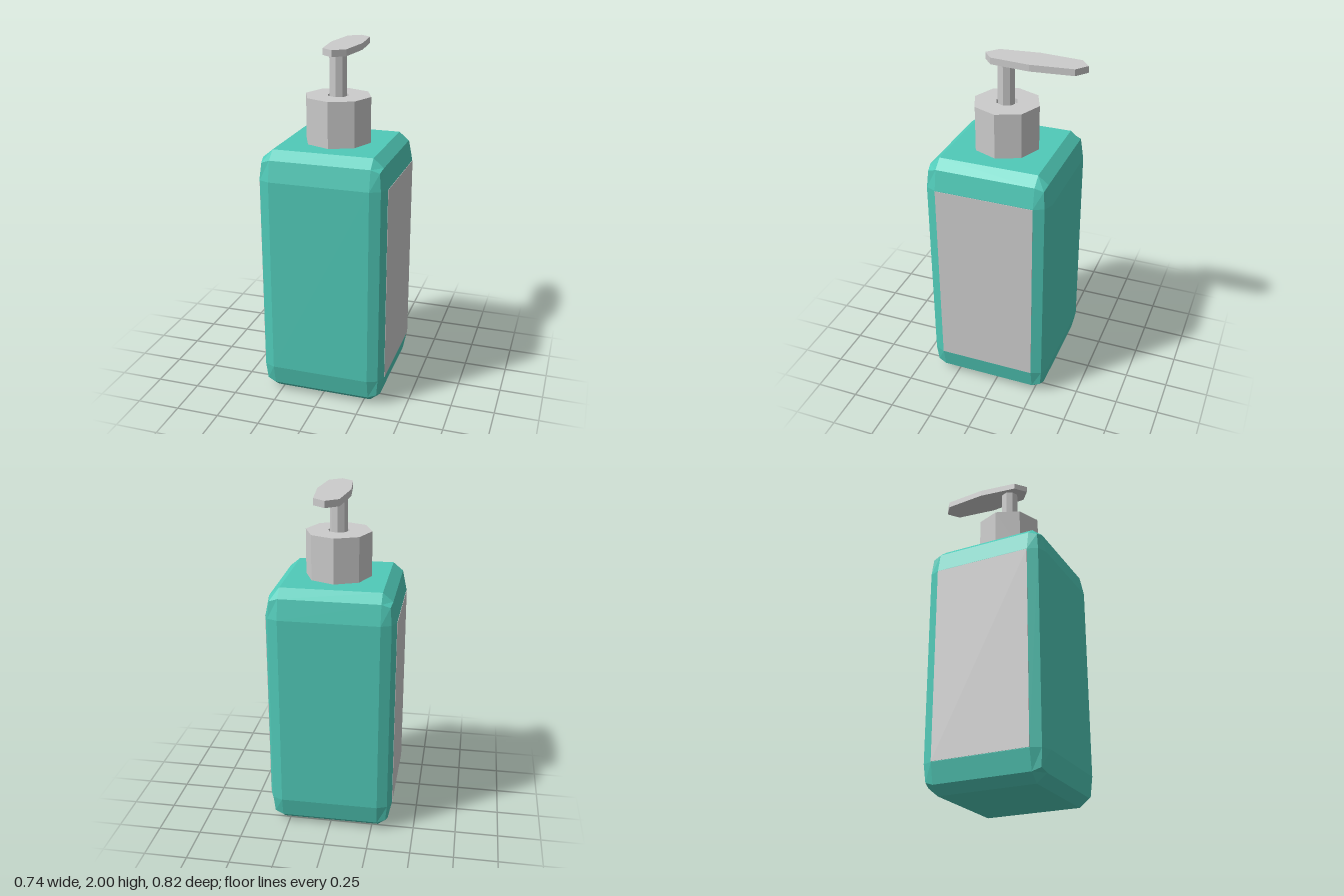
import * as THREE from 'three';

const CZ = 0.0425; // bottle axis lies slightly forward of the centre
const HALF = 0.367, HEIGHT = 1.475;

// Box whose edges and corners are bevelled in two steps: each vertex moves
// by how many of its coordinates lie on the outside of the box.
function bevelledBox() {
  const geo = new THREE.BoxGeometry(2, 2, 2, 3, 3, 3);
  const pos = geo.attributes.position;
  for (let i = 0; i < pos.count; i++) {
    const p = [pos.getX(i), pos.getY(i), pos.getZ(i)];
    const outer = p.filter((v) => Math.abs(v) > 0.9).length;
    const reach = [0, HALF, 0.343, 0.334][outer];
    const q = p.map((v) => Math.sign(v) * (Math.abs(v) > 0.9 ? reach : 0.285));
    pos.setXYZ(i, q[0], q[1] * HEIGHT / (2 * HALF), q[2]);
  }
  geo.computeVertexNormals();
  return geo;
}

export function createModel() {
  const group = new THREE.Group();
  const teal = new THREE.MeshStandardMaterial({ color: 0x50cab8, flatShading: true });
  teal.name = 'teal';
  const grey = new THREE.MeshStandardMaterial({ color: 0xcccccc, flatShading: true });
  grey.name = 'light grey';

  const add = (name, geo, material, x, y, z) => {
    const mesh = new THREE.Mesh(geo, material);
    mesh.name = name;
    mesh.position.set(x, y, z);
    group.add(mesh);
  };

  // Bottle
  add('bottle', bevelledBox(), teal, 0, HEIGHT / 2, CZ);

  // Labels on both sides
  for (const side of [1, -1]) {
    add(side > 0 ? 'leftLabel' : 'rightLabel', new THREE.BoxGeometry(0.004, 1.14, 0.57), grey,
      side * HALF, HEIGHT / 2, CZ);
  }

  // Collar with a shallow socket around the stem
  const collar = [[0, 1.47], [0.19, 1.47], [0.19, 1.735], [0.062, 1.735], [0.062, 1.71], [0, 1.71]];
  add('collar', new THREE.LatheGeometry(collar.map(([r, y]) => new THREE.Vector2(r, y)), 8),
    grey, 0, 0, CZ);

  // Pump stem
  add('stem', new THREE.CylinderGeometry(0.051, 0.051, 0.27, 8), grey, 0, 1.835, CZ + 0.003);

  // Pump head, long towards the back
  const half = [[0, -0.165], [0.068, -0.11], [0.092, 0.115], [0.068, 0.357], [0, 0.41]];
  const outline = [...half, ...half.slice(1, -1).reverse().map(([x, y]) => [-x, y])];
  const shape = new THREE.Shape(outline.map(([x, y]) => new THREE.Vector2(x, y)));
  const head = new THREE.ExtrudeGeometry(shape, { depth: 0.037, bevelEnabled: false });
  head.rotateX(-Math.PI / 2);
  add('pumpHead', head, grey, 0, 1.963, 0);

  return group;
}
